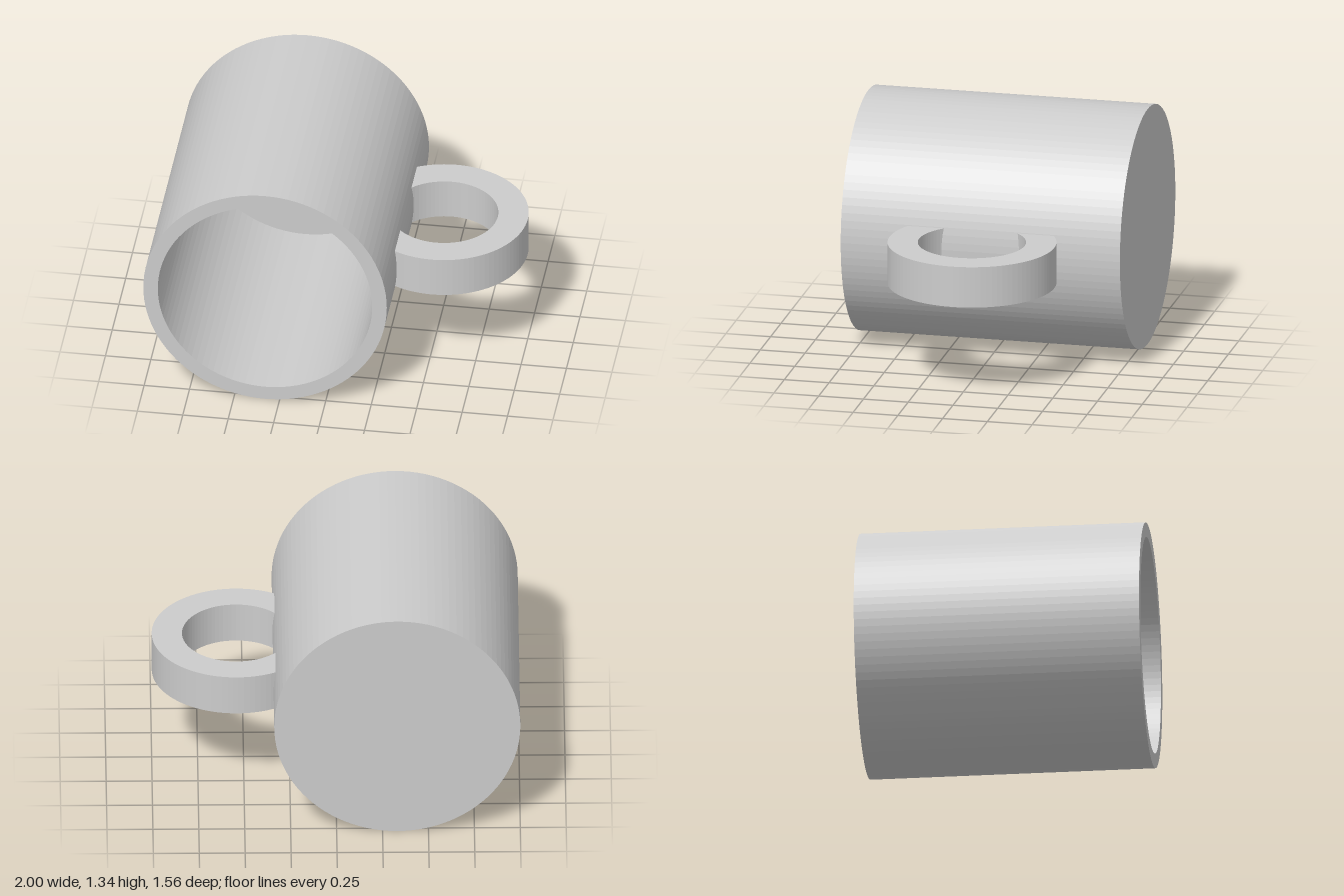
import * as THREE from 'three';

export function createModel() {
  const model = new THREE.Group();
  model.name = 'mug';

  const grey = new THREE.MeshStandardMaterial({ color: 0xcccccc, flatShading: true });
  grey.name = 'light grey';

  // Hollow cup lying on its side: closed at the back, open to the front
  const outerR = 0.67, innerR = 0.59, half = 0.78, floor = 0.08;
  const profile = [
    [0, -half], [outerR, -half], [outerR, half],
    [innerR, half], [innerR, -half + floor], [0, -half + floor],
  ].map(([r, y]) => new THREE.Vector2(r, y));
  const cup = new THREE.Mesh(new THREE.LatheGeometry(profile, 100).rotateX(Math.PI / 2), grey);
  cup.name = 'cup';
  cup.position.set(-0.33, outerR, 0);
  model.add(cup);

  // Flat ring handle, cut off inside the thickness of the cup wall
  const ringX = 0.54, ringOuter = 0.46, ringInner = 0.295, cutX = 0.3, height = 0.23;
  const outerEnd = Math.acos((cutX - ringX) / ringOuter);
  const innerEnd = Math.acos((cutX - ringX) / ringInner);
  const shape = new THREE.Shape();
  shape.absarc(0, 0, ringOuter, -outerEnd, outerEnd, false);
  shape.absarc(0, 0, ringInner, innerEnd, -innerEnd, true);
  shape.closePath();
  const handleGeometry = new THREE.ExtrudeGeometry(shape, {
    depth: height, bevelEnabled: false, curveSegments: 32,
  }).rotateX(-Math.PI / 2);
  const handle = new THREE.Mesh(handleGeometry, grey);
  handle.name = 'handle';
  handle.position.set(ringX, 0.56, 0);
  model.add(handle);

  return model;
}
